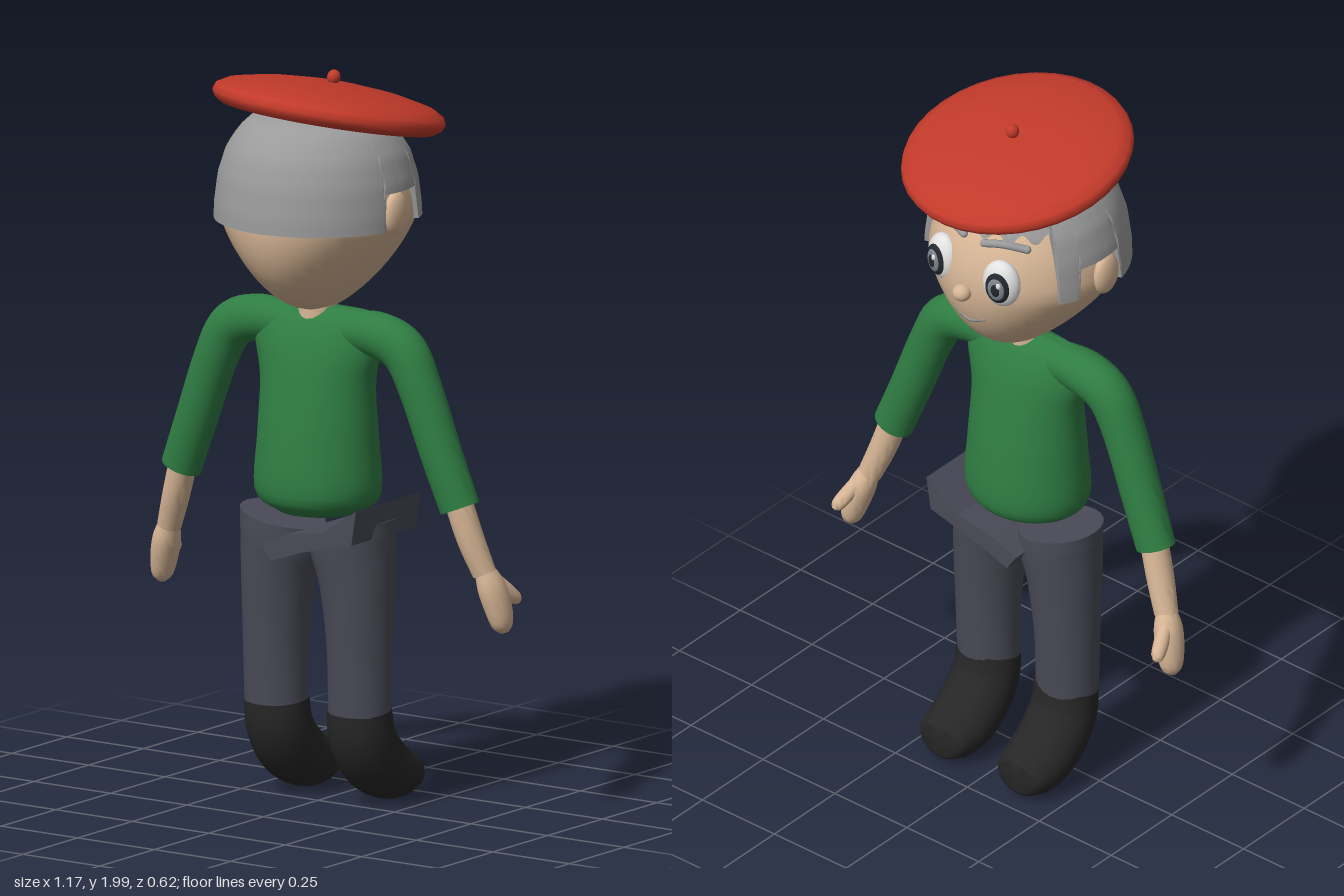
import * as THREE from 'three';
import { toCreasedNormals } from 'three/addons/utils/BufferGeometryUtils.js';

const mat = (name, color) => {
  const m = new THREE.MeshStandardMaterial({ color });
  m.name = name;
  return m;
};

const X = new THREE.Vector3(1, 0, 0), Z = new THREE.Vector3(0, 0, 1);

// Closed surface through rows of rings, with a cap at each end
function skin(rings, crease = 0.9) {
  const n = rings[0].length, pos = rings.flat().flatMap(p => [p.x, p.y, p.z]), idx = [];
  for (let i = 0; i < rings.length - 1; i++) for (let j = 0; j < n; j++) {
    const k = (j + 1) % n, a = i * n, b = a + n;
    idx.push(a + j, a + k, b + j, a + k, b + k, b + j);
  }
  [0, rings.length - 1].forEach((r, end) => {
    const c = new THREE.Vector3();
    rings[r].forEach(p => c.addScaledVector(p, 1 / n));
    const ci = pos.length / 3;
    pos.push(c.x, c.y, c.z);
    for (let j = 0; j < n; j++) {
      const k = (j + 1) % n;
      idx.push(ci, r * n + (end ? j : k), r * n + (end ? k : j));
    }
  });
  const g = new THREE.BufferGeometry();
  g.setAttribute('position', new THREE.Float32BufferAttribute(pos, 3));
  g.setIndex(idx);
  return toCreasedNormals(g, crease);
}

// Sweep ellipses along stations [x, y, z, radius along axis, other radius]
function sweep(stations, axis, steps = 20, n = 24) {
  const path = new THREE.CatmullRomCurve3(stations.map(s => new THREE.Vector3(s[0], s[1], s[2])), false, 'catmullrom', 0.5);
  const size = new THREE.CatmullRomCurve3(stations.map(s => new THREE.Vector3(s[3], s[4], 0)), false, 'catmullrom', 0.5);
  const rings = [];
  for (let i = 0; i <= steps; i++) {
    const t = i / steps, c = path.getPoint(t), r = size.getPoint(t), T = path.getTangent(t);
    const A = axis.clone().addScaledVector(T, -axis.dot(T)).normalize();
    const B = T.clone().cross(A);
    rings.push(Array.from({ length: n }, (_, j) => {
      const a = j / n * Math.PI * 2;
      return c.clone().addScaledVector(A, Math.cos(a) * r.x).addScaledVector(B, Math.sin(a) * r.y);
    }));
  }
  return skin(rings);
}

// Hair: outer radius by height, and lower edge by angle from the back
const hairProfile = [[1.6, 0.278], [1.64, 0.277], [1.72, 0.267], [1.79, 0.245], [1.84, 0.212], [1.87, 0.18], [1.886, 0.13]];
function hairRadius(y) {
  const i = Math.max(1, hairProfile.findIndex(p => p[0] >= y - 1e-6));
  const [y0, r0] = hairProfile[i - 1], [y1, r1] = hairProfile[i];
  return r0 + (r1 - r0) * (y - y0) / (y1 - y0);
}
function hairEdge(deg) {
  if (deg < 77) return 1.6;
  if (deg < 110) return 1.7;
  if (deg < 123) return 1.61;
  return 1.79 + 0.012 * Math.cos(deg * 0.35);
}
function hairGeometry() {
  const n = 180, rows = 14, rings = [];
  for (let i = -1; i <= rows; i++) {
    rings.push(Array.from({ length: n }, (_, j) => {
      const a = j / n * Math.PI * 2, deg = Math.min(j, n - j) * 360 / n;
      const y0 = hairEdge(deg), y = y0 + (1.886 - y0) * Math.max(i, 0) / rows;
      const front = deg > 123 ? 0.93 : 1;
      const r = hairRadius(y) * front * (i < 0 ? 0.85 : 1);
      return new THREE.Vector3(Math.sin(a) * r, y, Math.cos(a) * r);
    }));
  }
  return skin(rings, 0.7);
}

export function createModel() {
  const root = new THREE.Group();
  const M = {
    skin: mat('skin', 0xd6b595), hair: mat('grey hair', 0x9b9b9b), red: mat('red felt', 0xc23a2a),
    green: mat('green knit', 0x2f7d43), pants: mat('slate cloth', 0x4a4a57), boot: mat('black leather', 0x262626),
    white: mat('eye white', 0xe2e2e2), iris: mat('iris grey', 0x7d858d), dark: mat('pupil dark', 0x24282e),
  };
  const add = (name, geo, m, parent = root) => {
    const mesh = new THREE.Mesh(geo, m);
    mesh.name = name;
    parent.add(mesh);
    return mesh;
  };
  const ball = (name, m, p, s, parent = root) => {
    const b = add(name, new THREE.SphereGeometry(1, 24, 16), m, parent);
    b.position.set(...p);
    b.scale.set(...s);
    return b;
  };
  const tube = (name, pts, r, m) => {
    const v = pts.map(p => new THREE.Vector3(...p));
    add(name, new THREE.TubeGeometry(new THREE.CatmullRomCurve3(v), 12, r, 8), m);
    [v[0], v[v.length - 1]].forEach(p => ball(name + 'End', m, p.toArray(), [r, r, r]));
  };

  // Head: a sphere whose jaw narrows sideways
  const headGeo = new THREE.SphereGeometry(0.265, 40, 28), hp = headGeo.attributes.position;
  for (let i = 0; i < hp.count; i++) {
    const d = Math.max(0, -hp.getY(i));
    hp.setX(i, hp.getX(i) * Math.max(0.6, 1 - 1.75 * d));
  }
  headGeo.computeVertexNormals();
  add('head', headGeo, M.skin).position.y = 1.615;
  add('neck', new THREE.CylinderGeometry(0.05, 0.055, 0.12, 20), M.skin).position.y = 1.36;
  add('hair', hairGeometry(), M.hair);

  // Face, looking toward -z
  ball('nose', M.skin, [0, 1.612, -0.272], [0.026, 0.024, 0.026]);
  tube('mouth', [[-0.05, 1.53, -0.238], [0, 1.512, -0.24], [0.05, 1.53, -0.238]], 0.007, M.hair);
  for (const s of [-1, 1]) {
    ball('ear', M.skin, [s * 0.262, 1.642, 0.01], [0.024, 0.06, 0.046]);
    tube('eyebrow', [[s * 0.035, 1.76, -0.222], [s * 0.09, 1.772, -0.208], [s * 0.145, 1.762, -0.175]], 0.011, M.hair);
    const eye = new THREE.Group();
    eye.name = 'eye';
    eye.position.set(s * 0.1, 1.662, -0.226);
    eye.rotation.y = Math.atan2(s * 0.25, -1);
    root.add(eye);
    ball('eyeball', M.white, [0, 0, 0], [0.055, 0.07, 0.036], eye);
    ball('irisRim', M.dark, [0, 0, 0.028], [0.035, 0.046, 0.013], eye);
    ball('iris', M.iris, [0, 0, 0.034], [0.026, 0.035, 0.01], eye);
    ball('pupil', M.dark, [0, 0, 0.038], [0.015, 0.022, 0.009], eye);
    ball('glint', M.white, [0.01, 0.017, 0.043], [0.007, 0.009, 0.005], eye);
  }

  // Beret, tilted forward and slightly to one side
  const beret = new THREE.Group();
  beret.name = 'beret';
  beret.position.set(0.035, 1.897, 0);
  beret.rotation.set(-0.19, 0, -0.06);
  root.add(beret);
  const rim = [[0, -0.025], [0.22, -0.028], [0.29, -0.024], [0.308, -0.012], [0.315, 0.004], [0.308, 0.022],
    [0.28, 0.038], [0.2, 0.056], [0.1, 0.068], [0, 0.071]];
  add('beretDisc', new THREE.LatheGeometry(rim.map(p => new THREE.Vector2(...p)), 36), M.red, beret);
  ball('beretStem', M.red, [0, 0.085, 0], [0.018, 0.02, 0.018], beret);

  // Sweater body
  add('torso', sweep([[0, 0.8, 0, 0.11, 0.1], [0, 0.85, 0, 0.178, 0.147], [0, 1.0, 0, 0.175, 0.137],
    [0, 1.15, 0, 0.172, 0.113], [0, 1.25, 0, 0.195, 0.09], [0, 1.32, 0, 0.2, 0.06], [0, 1.362, 0, 0.17, 0.022]], X, 28, 32), M.green);

  for (const s of [-1, 1]) {
    // Sleeve, forearm and mitten hand
    add('sleeve', sweep([[s * 0.1, 1.3, 0, 0.055, 0.055], [s * 0.2, 1.3, 0, 0.062, 0.062], [s * 0.282, 1.265, 0, 0.06, 0.064],
      [s * 0.335, 1.17, 0, 0.057, 0.06], [s * 0.4, 1.0, -0.005, 0.054, 0.058], [s * 0.455, 0.86, -0.012, 0.05, 0.057]], Z, 28), M.green);
    add('forearm', sweep([[s * 0.445, 0.89, -0.012, 0.038, 0.038], [s * 0.48, 0.78, -0.024, 0.038, 0.037],
      [s * 0.515, 0.685, -0.04, 0.032, 0.033]], Z, 10), M.skin);
    add('hand', sweep([[s * 0.513, 0.7, -0.038, 0.026, 0.026], [s * 0.53, 0.65, -0.05, 0.042, 0.036],
      [s * 0.545, 0.595, -0.06, 0.042, 0.035], [s * 0.556, 0.545, -0.066, 0.032, 0.027], [s * 0.56, 0.525, -0.068, 0.012, 0.012]], Z, 16), M.skin);
    add('thumb', sweep([[s * 0.53, 0.675, -0.055, 0.018, 0.018], [s * 0.545, 0.635, -0.095, 0.021, 0.021],
      [s * 0.556, 0.608, -0.125, 0.018, 0.018], [s * 0.558, 0.6, -0.138, 0.007, 0.007]], X, 10, 14), M.skin);

    // Trouser leg, its top sloping down toward the middle
    const leg = sweep([[s * 0.137, 0.265, 0, 0.088, 0.078], [s * 0.137, 0.45, 0, 0.091, 0.087],
      [s * 0.128, 0.62, 0, 0.103, 0.1], [s * 0.115, 0.72, 0, 0.117, 0.11], [s * 0.115, 0.775, 0, 0.117, 0.11]], X);
    const lp = leg.attributes.position;
    for (let i = 0; i < lp.count; i++) {
      const k = THREE.MathUtils.clamp((lp.getY(i) - 0.6) / 0.175, 0, 1);
      lp.setY(i, lp.getY(i) + k * 0.2 * (Math.abs(lp.getX(i)) - 0.115));
    }
    add('trouserLeg', leg, M.pants);

    // Boot, bending forward at the ankle
    add('boot', sweep([[s * 0.135, 0.275, 0, 0.092, 0.077], [s * 0.135, 0.2, -0.012, 0.094, 0.083],
      [s * 0.135, 0.13, -0.06, 0.094, 0.088], [s * 0.135, 0.088, -0.125, 0.092, 0.08],
      [s * 0.135, 0.078, -0.185, 0.08, 0.064], [s * 0.135, 0.078, -0.21, 0.06, 0.045]], X), M.boot);
  }

  // Loose waistband: a wedge rising to one hip
  const flap = new THREE.Shape([[-0.08, 0.725], [-0.05, 0.68], [0.05, 0.715], [0.215, 0.755], [0.23, 0.85], [0.12, 0.778], [0, 0.758]]
    .map(p => new THREE.Vector2(...p)));
  const waist = new THREE.ExtrudeGeometry(flap, { depth: 0.295, bevelEnabled: false });
  add('waistband', waist.translate(0, 0, -0.146), M.pants);

  return root;
}
